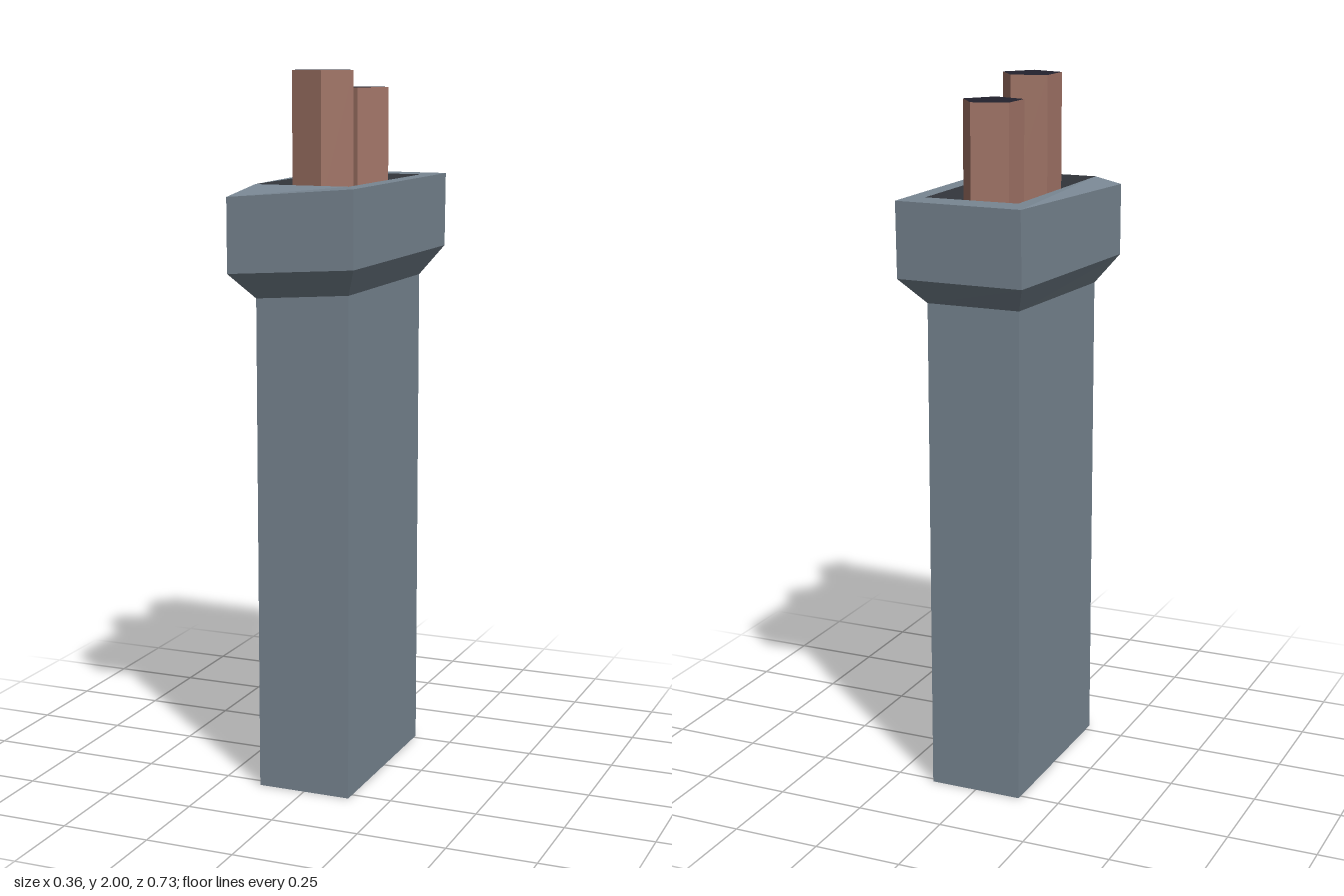
import * as THREE from 'three';

const mat = (name, color, side = THREE.FrontSide) => {
  const m = new THREE.MeshStandardMaterial({ color, side, flatShading: true });
  m.name = name;
  return m;
};

// Four corners, counter-clockwise from above; the front right corner may sag and the back may skew.
const ring = (y, x, front, backLeft, backRight, sag = 0) => [
  [x, y, front], [x, y, backLeft], [-x, y, backRight], [-x, y - sag, front],
];

// Flat-sided band through a list of rings, optionally closed at the last one.
function loft(name, rings, material, closeEnd = false) {
  const pos = [];
  for (let i = 0; i < rings.length - 1; i++) {
    const a = rings[i], b = rings[i + 1];
    for (let j = 0; j < 4; j++) {
      const k = (j + 1) % 4;
      pos.push(...a[j], ...a[k], ...b[k], ...a[j], ...b[k], ...b[j]);
    }
  }
  if (closeEnd) {
    const [p, q, r, s] = rings[rings.length - 1];
    pos.push(...p, ...q, ...r, ...p, ...r, ...s);
  }
  const geo = new THREE.BufferGeometry();
  geo.setAttribute('position', new THREE.Float32BufferAttribute(pos, 3));
  geo.computeVertexNormals();
  const mesh = new THREE.Mesh(geo, material);
  mesh.name = name;
  return mesh;
}

export function createModel() {
  const group = new THREE.Group();
  group.name = 'chimney';
  const stone = mat('stone', 0x788692, THREE.DoubleSide);
  const soot = mat('soot', 0x3f434a, THREE.DoubleSide);
  const clay = mat('clay', 0xa27567);
  const flue = mat('flue', 0x23222d);

  // Rings shared by neighbouring parts
  const neck = ring(1.412, 0.135, 0.28, -0.265, -0.265, 0.02);
  const capBase = ring(1.49, 0.182, 0.362, -0.351, -0.356, 0.025);
  const capTop = ring(1.70, 0.182, 0.362, -0.356, -0.364, 0.03);
  const mouth = ring(1.70, 0.135, 0.28, -0.271, -0.271);
  const floor = ring(1.645, 0.135, 0.28, -0.271, -0.271);

  // Hollow shaft, open at the bottom
  group.add(loft('shaft', [ring(0, 0.135, 0.28, -0.265, -0.265), neck], stone));
  // Flared underside, band and rim of the cap
  group.add(loft('corbel', [neck, capBase], stone));
  group.add(loft('cap', [capBase, capTop, mouth], stone));
  // Sunken top
  group.add(loft('recess', [mouth, floor], soot, true));

  // Five-sided chimney pots with dark tops
  for (const [name, z, top] of [['frontPot', 0.128, 2], ['backPot', -0.135, 1.95]]) {
    const h = top - 1.64;
    const geo = new THREE.CylinderGeometry(0.087, 0.087, h, 5, 1, false, Math.PI / 2);
    const pot = new THREE.Mesh(geo, [clay, flue, clay]);
    pot.position.set(0, 1.64 + h / 2, z);
    pot.name = name;
    group.add(pot);
  }
  return group;
}
